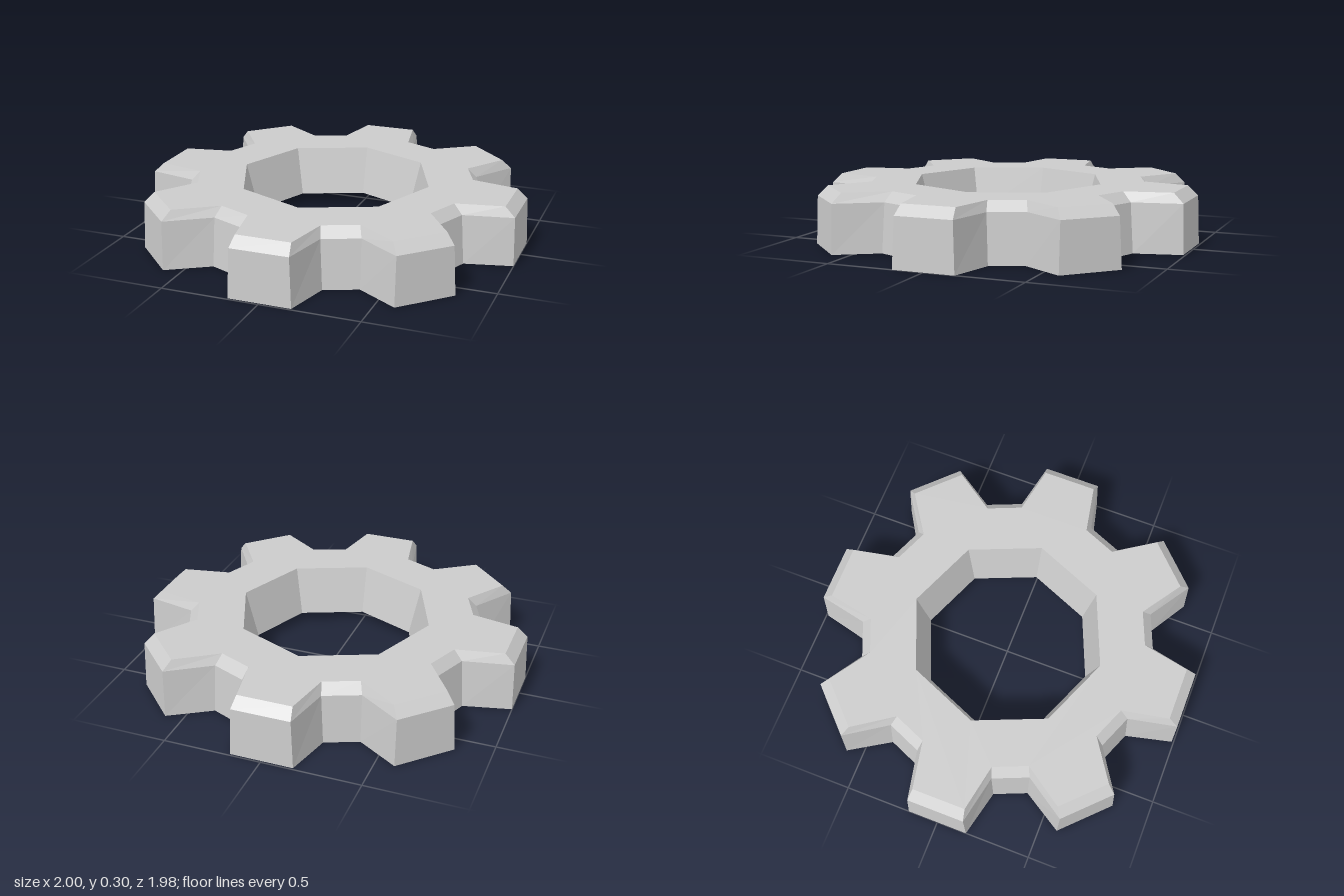
import * as THREE from 'three';

const TEETH = 8;
const Z_SCALE = 0.99;

// Outline of the toothed rim: two tip corners and two root corners per tooth.
function gearRing(y, tipDistance, tipHalfWidth, rootRadius, rootAngle) {
  const root = [rootRadius * Math.cos(rootAngle), rootRadius * Math.sin(rootAngle)];
  const corners = [
    [root[0], -root[1]],
    [tipDistance, -tipHalfWidth],
    [tipDistance, tipHalfWidth],
    root,
  ];
  const ring = [];
  for (let i = 0; i < TEETH; i++) {
    const a = (i / TEETH) * Math.PI * 2;
    const c = Math.cos(a), s = Math.sin(a);
    for (const [u, v] of corners) {
      ring.push(new THREE.Vector3(u * c - v * s, y, -(u * s + v * c) * Z_SCALE));
    }
  }
  return ring;
}

// Octagonal outline of the centre hole.
function holeRing(y, radius) {
  return Array.from({ length: 8 }, (_, i) => {
    const a = (i / 8) * Math.PI * 2;
    return new THREE.Vector3(radius * Math.cos(a), y, -radius * Math.sin(a));
  });
}

// Skin a stack of closed rings with quads.
function loft(rings) {
  const n = rings[0].length;
  const index = [];
  for (let r = 0; r < rings.length - 1; r++) {
    for (let i = 0; i < n; i++) {
      const j = (i + 1) % n;
      const a = r * n + i, b = r * n + j;
      index.push(a, b, b + n, a, b + n, a + n);
    }
  }
  const geometry = new THREE.BufferGeometry().setFromPoints(rings.flat());
  geometry.setIndex(index);
  geometry.computeVertexNormals();
  return geometry;
}

export function createModel() {
  const group = new THREE.Group();
  group.name = 'gear';
  const material = new THREE.MeshStandardMaterial({
    color: 0xcccccc, flatShading: true, side: THREE.DoubleSide,
  });
  const add = (name, geometry) => {
    const mesh = new THREE.Mesh(geometry, material);
    mesh.name = name;
    group.add(mesh);
  };

  const rad = THREE.MathUtils.degToRad;
  const base = gearRing(0, 1.0, 0.16, 0.79, rad(16));
  const shoulder = gearRing(0.25, 0.992, 0.15, 0.767, rad(15.3));
  const top = gearRing(0.3, 0.94, 0.14, 0.72, rad(15.1));
  const holeTop = holeRing(0.3, 0.51);
  const holeBottom = holeRing(0.05, 0.445);

  // Slightly tapered rim with a bevelled upper edge, open underneath
  add('toothedRim', loft([base, shoulder, top]));

  // Hole wall narrowing downwards and stopping short of the base
  add('holeWall', loft([holeTop, holeBottom]));

  // Flat top plate with the octagonal hole
  const flat = (ring) => ring.map((p) => new THREE.Vector2(p.x, -p.z));
  const shape = new THREE.Shape(flat(top));
  shape.holes.push(new THREE.Path(flat(holeTop)));
  const plate = new THREE.ShapeGeometry(shape);
  plate.rotateX(-Math.PI / 2).translate(0, 0.3, 0);
  add('topPlate', plate);

  return group;
}
